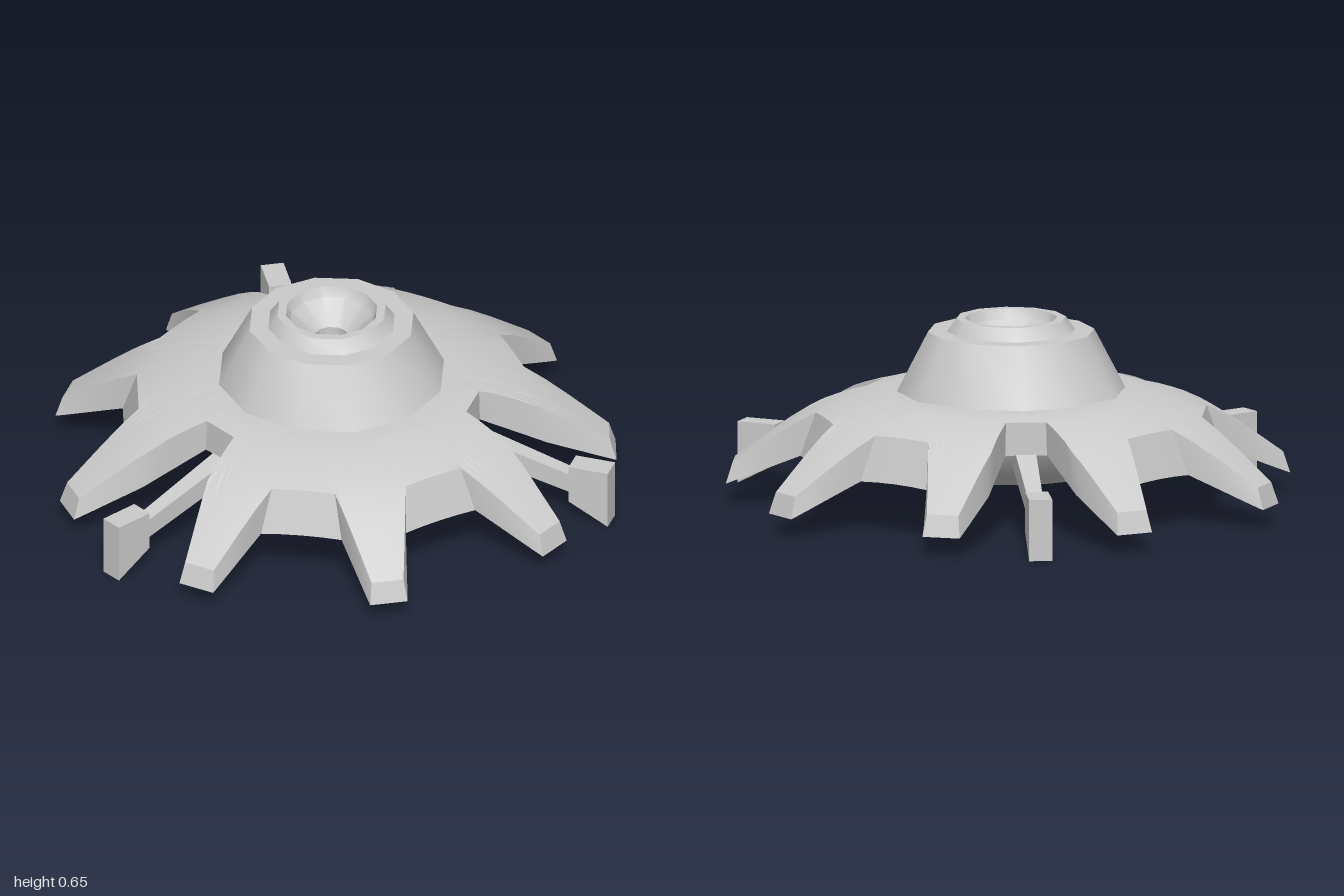
import * as THREE from 'three';
import { toCreasedNormals } from 'three/addons/utils/BufferGeometryUtils.js';

const grey = new THREE.MeshStandardMaterial({ color: 0xcccccc });
const V2 = (p) => new THREE.Vector2(p[0], p[1]);
const lerp = THREE.MathUtils.lerp;

// Height along a profile of [radius, y] points
function heightAt(profile, r) {
  for (let i = 1; i < profile.length; i++) {
    const [r0, y0] = profile[i - 1], [r1, y1] = profile[i];
    if (r <= r1) return lerp(y0, y1, Math.max(0, (r - r0) / (r1 - r0)));
  }
  return profile[profile.length - 1][1];
}

// Toothed outline: nine teeth, with a deeper notch at every third gap.
// Corners are [half width, distance] measured along each tooth's own axis.
function outline(tip, shallow, deep) {
  const corners = [];
  for (let k = 0; k < 9; k++) {
    const a = k * Math.PI * 2 / 9;
    const put = (x, d) => corners.push(V2([
      x * Math.cos(a) + d * Math.sin(a), d * Math.cos(a) - x * Math.sin(a)]));
    const before = [...(k % 3 === 2 ? deep : shallow), tip];
    const after = [tip, ...[...(k % 3 === 1 ? deep : shallow)].reverse()];
    before.forEach(([w, d]) => put(-w, d));
    after.forEach(([w, d]) => put(w, d));
  }
  // split every edge so the walls follow the curve of the dome
  const pts = [];
  corners.forEach((c, i) => {
    const n = corners[(i + 1) % corners.length];
    for (let s = 0; s < 4; s++) pts.push(c.clone().lerp(n, s / 4));
  });
  return pts;
}

function saucerGeometry() {
  const topProfile = [[0.36, 0.405], [0.45, 0.4], [0.55, 0.38], [0.62, 0.358],
    [0.68, 0.335], [0.76, 0.287], [0.85, 0.224], [0.957, 0.145]];
  const lowProfile = [[0.45, 0.3], [0.73, 0.18], [0.98, 0.07]];
  const top = outline([0.056, 0.957], [[0.125, 0.665]], [[0.11, 0.505], [0.107, 0.7]]);
  const low = outline([0.066, 0.98], [[0.113, 0.72]], [[0.108, 0.508], [0.108, 0.74]]);
  const steps = 7, rows = [];
  const ring = (pts, inner, t, profile) => rows.push(pts.map((p) => {
    const q = p.clone().setLength(inner).lerp(p, t);
    return [q.x, heightAt(profile, q.length()), q.y];
  }));
  for (let i = 0; i <= steps; i++) ring(top, 0.36, i / steps, topProfile);
  for (let i = steps; i >= 0; i--) ring(low, 0.45, i / steps, lowProfile);
  const pos = [], n = top.length;
  for (let i = 0; i < rows.length - 1; i++) {
    for (let j = 0; j < n; j++) {
      const a = rows[i][j], b = rows[i + 1][j];
      const c = rows[i + 1][(j + 1) % n], d = rows[i][(j + 1) % n];
      pos.push(...a, ...b, ...c, ...a, ...c, ...d);
    }
  }
  const g = new THREE.BufferGeometry();
  g.setAttribute('position', new THREE.Float32BufferAttribute(pos, 3));
  return toCreasedNormals(g, 0.6);
}

function lathe(points, sides) {
  return toCreasedNormals(new THREE.LatheGeometry(points.map(V2), sides).toNonIndexed(), 0.55);
}

// Bar along z whose ends are [z, half width, low y, high y]
function bar([z0, w0, lo0, hi0], [z1, w1, lo1, hi1]) {
  const g = new THREE.BoxGeometry(1, 1, 1), p = g.attributes.position;
  for (let i = 0; i < p.count; i++) {
    const far = p.getZ(i) > 0, high = p.getY(i) > 0, side = Math.sign(p.getX(i));
    p.setXYZ(i, side * (far ? w1 : w0),
      far ? (high ? hi1 : lo1) : (high ? hi0 : lo0), far ? z1 : z0);
  }
  const flat = g.toNonIndexed();
  flat.computeVertexNormals();
  return flat;
}

export function createModel() {
  const model = new THREE.Group();
  const add = (name, geometry, parent = model) => {
    const mesh = new THREE.Mesh(geometry, grey);
    mesh.name = name;
    parent.add(mesh);
  };

  add('toothedSaucer', saucerGeometry());

  // twelve-sided turret with a funnel in its top
  add('turret', lathe([[0.397, 0.4], [0.288, 0.61], [0.222, 0.61], [0.19, 0.655],
    [0.16, 0.655], [0.145, 0.62], [0.06, 0.55], [0.06, 0.4]], 12));

  // bowl under the saucer, open at the bottom
  add('lowerBowl', lathe([[0.06, 0.4], [0.3, 0.21], [0.31, 0.13], [0.325, 0.13],
    [0.4, 0.18], [0.46, 0.24], [0.49, 0.31]], 24));

  // three landing legs, one in each deep notch
  const strut = bar([0.42, 0.038, 0.22, 0.3], [0.89, 0.025, 0.1, 0.17]);
  const foot = bar([0.873, 0.04, 0.075, 0.215], [1.015, 0.04, 0, 0.215]);
  for (let i = 0; i < 3; i++) {
    const leg = new THREE.Group();
    leg.name = 'landingLeg' + (i + 1);
    leg.rotation.y = Math.PI / 3 + i * Math.PI * 2 / 3;
    add('strut', strut, leg);
    add('foot', foot, leg);
    model.add(leg);
  }

  model.children.forEach((part) => { part.position.z = 0.015; });
  return model;
}
